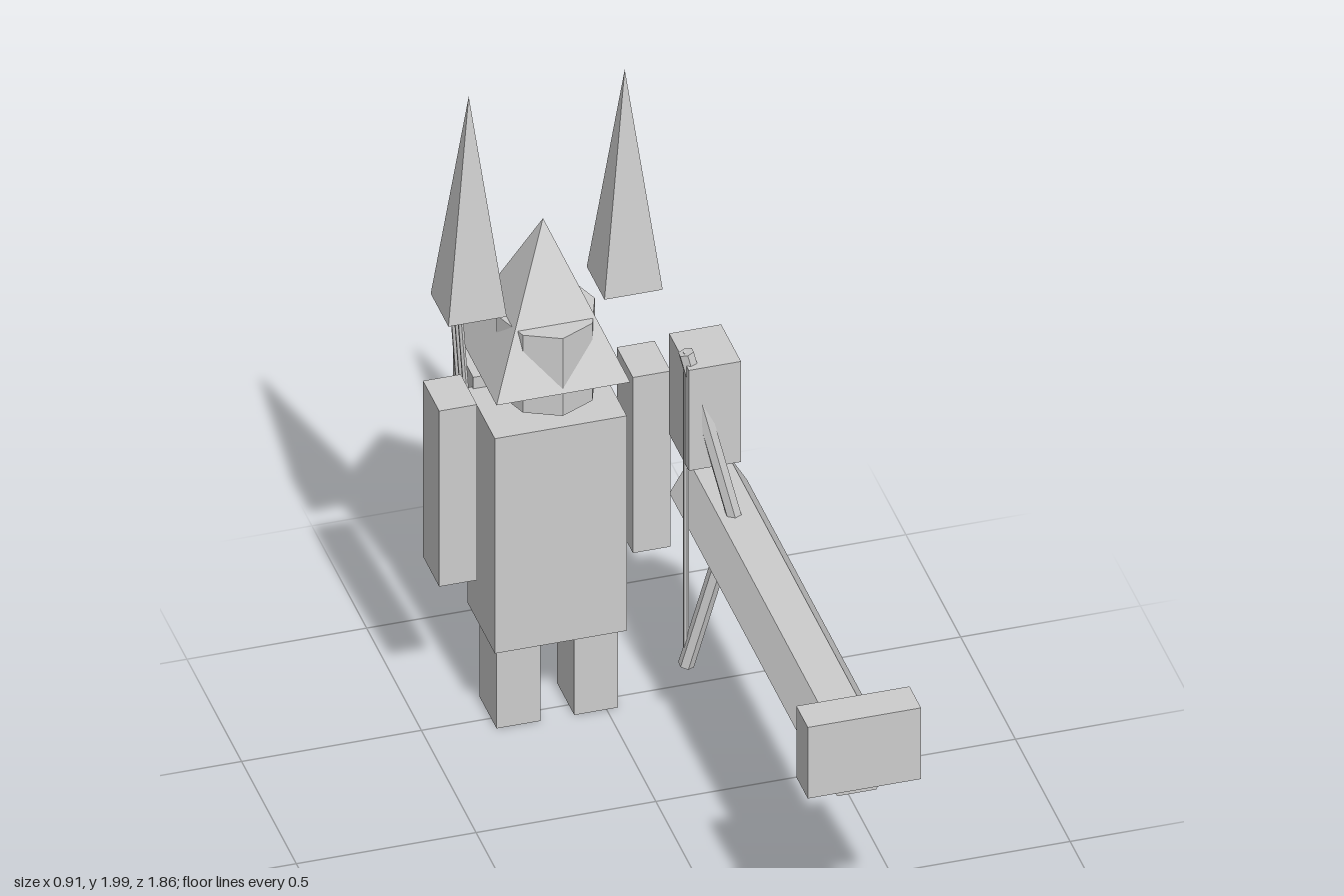
import * as THREE from 'three';

export function createModel() {
  const model = new THREE.Group();
  model.name = 'packedArcher';
  const grey = new THREE.MeshStandardMaterial({ color: 0xcccccc, flatShading: true });
  grey.name = 'plain grey';

  const add = (name, geometry) => {
    const mesh = new THREE.Mesh(geometry, grey);
    mesh.name = name;
    model.add(mesh);
    return mesh;
  };

  // Box between two extents on each axis
  const box = (name, [x0, x1], [y0, y1], [z0, z1]) =>
    add(name, new THREE.BoxGeometry(x1 - x0, y1 - y0, z1 - z0))
      .position.set((x0 + x1) / 2, (y0 + y1) / 2, (z0 + z1) / 2);

  // Square pyramid with its sides along x and z
  const pyramid = (name, x, y0, y1, z, half) => {
    const g = new THREE.ConeGeometry(half * Math.SQRT2, y1 - y0, 4).rotateY(Math.PI / 4);
    add(name, g).position.set(x, (y0 + y1) / 2, z);
  };

  // Straight six-sided rod between two points
  const rod = (name, a, b, radius) => {
    const from = new THREE.Vector3(...a);
    const to = new THREE.Vector3(...b);
    const dir = to.clone().sub(from);
    const mesh = add(name, new THREE.CylinderGeometry(radius, radius, dir.length(), 6));
    mesh.position.copy(from).lerp(to, 0.5);
    mesh.quaternion.setFromUnitVectors(new THREE.Vector3(0, 1, 0), dir.normalize());
  };

  // Body, limbs and ears, mirrored about the figure's own centre line
  const cx = -0.137;
  box('body', [-0.32, 0.047], [0.265, 0.96], [-0.67, -0.42]);
  for (const [side, s] of [['left', 1], ['right', -1]]) {
    const span = (a, b) => [cx + s * a, cx + s * b].sort((p, q) => p - q);
    box(side + 'Leg', span(0.047, 0.169), [0, 0.268], [-0.607, -0.45]);
    box(side + 'Arm', span(0.217, 0.322), [0.475, 1.043], [-0.62, -0.472]);
    pyramid(side + 'Ear', cx + s * 0.217, 1.315, 1.99, -0.547, 0.081);
  }

  // Head, slightly deeper than wide, poking through the pointed hat
  const head = add('head', new THREE.CylinderGeometry(1, 1, 0.25, 8).scale(0.137, 1, 0.158));
  head.position.set(cx, 1.135, -0.558);
  pyramid('hat', cx, 1.085, 1.53, -0.581, 0.186);

  // Backpack and the loose pouch behind it
  box('upperPack', [-0.307, 0.034], [0.725, 0.997], [-0.847, -0.66]);
  box('lowerPack', [-0.307, 0.034], [0.37, 0.75], [-0.738, -0.66]);
  box('pouch', [-0.023, 0.05], [0.385, 0.535], [-0.927, -0.847]);

  // Arrows on the right shoulder
  for (const z of [-0.641, -0.677, -0.713]) {
    rod('arrow', [-0.35, 1.23, z], [-0.325, 0.845, z], 0.008);
  }

  // Bow with two limbs and a string
  const grip = [0.287, 0.715, -0.23];
  const tips = [[0.175, 1.22, -0.299], [0.175, 0.21, -0.299]];
  for (const tip of tips) rod('bowLimb', tip, grip, 0.022);
  rod('bowString', tips[0], tips[1], 0.008);
  box('bowBlock', [0.17, 0.315], [0.865, 1.19], [-0.438, -0.257]);

  // Long hammer pointing forward
  const shaft = add('hammerShaft', new THREE.CylinderGeometry(0.108, 0.108, 1.357, 6)
    .rotateY(Math.PI / 6).rotateX(Math.PI / 2));
  shaft.position.set(0.298, 0.628, 0.178);
  box('hammerHead', [0.14, 0.455], [0.595, 0.825], [0.823, 0.928]);

  return model;
}
